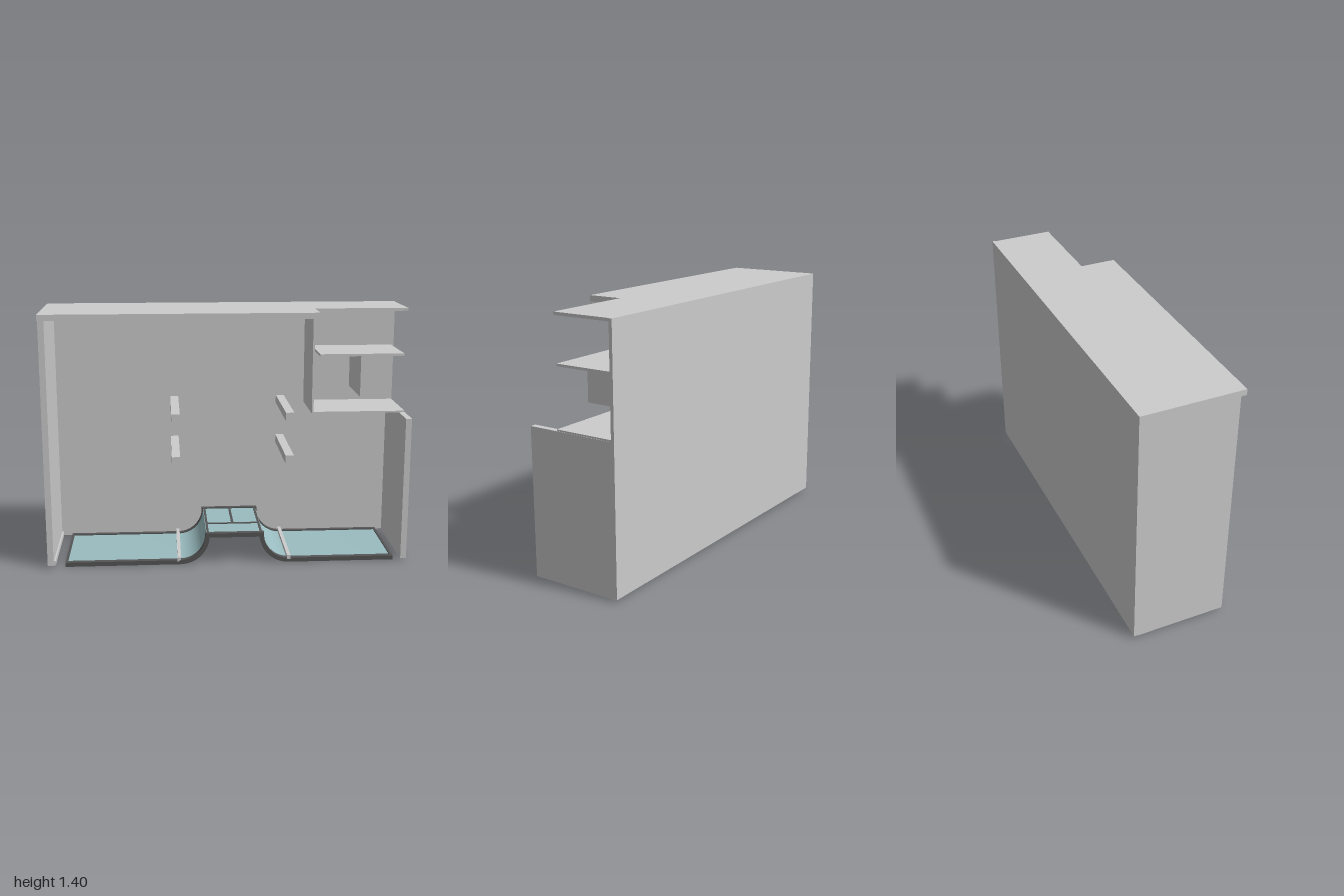
import * as THREE from 'three';
import { toCreasedNormals } from 'three/addons/utils/BufferGeometryUtils.js';

const grey = new THREE.MeshStandardMaterial({ color: 0xcccccc });
const glass = new THREE.MeshStandardMaterial({ color: 0x9abcc0 });
const dark = new THREE.MeshStandardMaterial({ color: 0x555555 });

// Box given by its limits on each axis
function box(parent, name, [x0, x1], [y0, y1], [z0, z1], material = grey) {
  const mesh = new THREE.Mesh(new THREE.BoxGeometry(x1 - x0, y1 - y0, z1 - z0), material);
  mesh.position.set((x0 + x1) / 2, (y0 + y1) / 2, (z0 + z1) / 2);
  mesh.name = name;
  parent.add(mesh);
}

// Outline of the ramp track seen from the front, grown by half the thickness
function trackShape(half) {
  const low = 0.013, r = 0.152, cy = low + r;
  const upper = [], lower = [];
  const add = (x, y, nx, ny) => {
    upper.push(new THREE.Vector2(x + nx * half, y + ny * half));
    lower.push(new THREE.Vector2(x - nx * half, y - ny * half));
  };
  const steps = 16;
  add(-0.9, low, 0, 1);
  for (let i = 0; i <= steps; i++) {
    const a = -Math.PI / 2 + (i / steps) * (Math.PI / 2);
    add(-0.27 + r * Math.cos(a), cy + r * Math.sin(a), -Math.cos(a), -Math.sin(a));
  }
  // corners of the raised deck
  upper[upper.length - 1].y += half;
  lower[lower.length - 1].y -= half;
  for (let i = 0; i <= steps; i++) {
    const a = Math.PI + (i / steps) * (Math.PI / 2);
    add(0.337 + r * Math.cos(a), cy + r * Math.sin(a), -Math.cos(a), -Math.sin(a));
    if (i === 0) {
      upper[upper.length - 1].y += half;
      lower[lower.length - 1].y -= half;
    }
  }
  add(0.92, low, 0, 1);
  return new THREE.Shape([...upper, ...lower.reverse()]);
}

function track(parent, name, half, z0, z1, material) {
  const geo = new THREE.ExtrudeGeometry(trackShape(half), { depth: z1 - z0, bevelEnabled: false });
  const mesh = new THREE.Mesh(toCreasedNormals(geo, 0.6), material);
  mesh.position.z = z0;
  mesh.name = name;
  parent.add(mesh);
}

export function createModel() {
  const model = new THREE.Group();
  model.name = 'cabinet';

  // Case
  const shell = new THREE.Group();
  shell.name = 'case';
  model.add(shell);
  box(shell, 'backPanel', [-1, 1], [0.015, 1.4], [-0.275, -0.257]);
  box(shell, 'rightSide', [-1, -0.967], [0.012, 1.37], [-0.257, 0.245]);
  box(shell, 'leftSide', [0.967, 1], [0.012, 0.815], [-0.257, 0.245]);
  box(shell, 'topMain', [-1, 0.48], [1.368, 1.4], [-0.257, 0.275]);

  // Corner shelf unit, open at front and outer side
  const shelves = new THREE.Group();
  shelves.name = 'cornerShelves';
  model.add(shelves);
  const depth = [-0.257, 0.077];
  box(shelves, 'topShelf', [0.48, 0.995], [1.384, 1.4], depth);
  box(shelves, 'shelfDivider', [0.474, 0.484], [0.815, 1.384], depth);
  box(shelves, 'bottomShelf', [0.484, 0.998], [0.815, 0.824], depth);
  box(shelves, 'middleShelf', [0.515, 0.985], [1.135, 1.148], depth);
  box(shelves, 'shelfSupport', [0.743, 0.755], [0.907, 1.135], depth);

  // Four pegs standing out from the back panel
  for (const x of [-0.287, 0.333])
    for (const y of [0.595, 0.833])
      box(model, 'peg', [x - 0.023, x + 0.023], [y - 0.023, y + 0.023], [-0.257, 0.235]);

  // Ramp track with edge rails
  const floor = new THREE.Group();
  floor.name = 'rampTrack';
  model.add(floor);
  track(floor, 'trackSheet', 0.006, -0.23, 0.205, glass);
  track(floor, 'backRail', 0.012, -0.257, -0.23, dark);
  track(floor, 'frontRail', 0.012, 0.205, 0.235, dark);
  box(floor, 'endRail', [-0.905, -0.892], [0.001, 0.025], [-0.257, 0.235], dark);
  box(floor, 'endRail', [0.912, 0.925], [0.001, 0.025], [-0.257, 0.235], dark);

  // Bars on the raised deck
  box(floor, 'deckBar', [-0.118, 0.185], [0.16, 0.175], [0.04, 0.055], dark);
  box(floor, 'deckBar', [0.027, 0.04], [0.16, 0.175], [-0.23, 0.04], dark);
  for (const x of [-0.115, 0.182])
    box(floor, 'deckEdge', [x - 0.006, x + 0.006], [0.155, 0.175], [-0.23, 0.205], dark);

  // Strips across the floor
  for (const x of [-0.275, 0.337])
    box(floor, 'crossBar', [x - 0.01, x + 0.01], [0.016, 0.04], [-0.257, 0.235]);
  box(shell, 'sideStrip', [-0.967, -0.957], [0.012, 0.037], [-0.257, 0.235]);

  return model;
}
